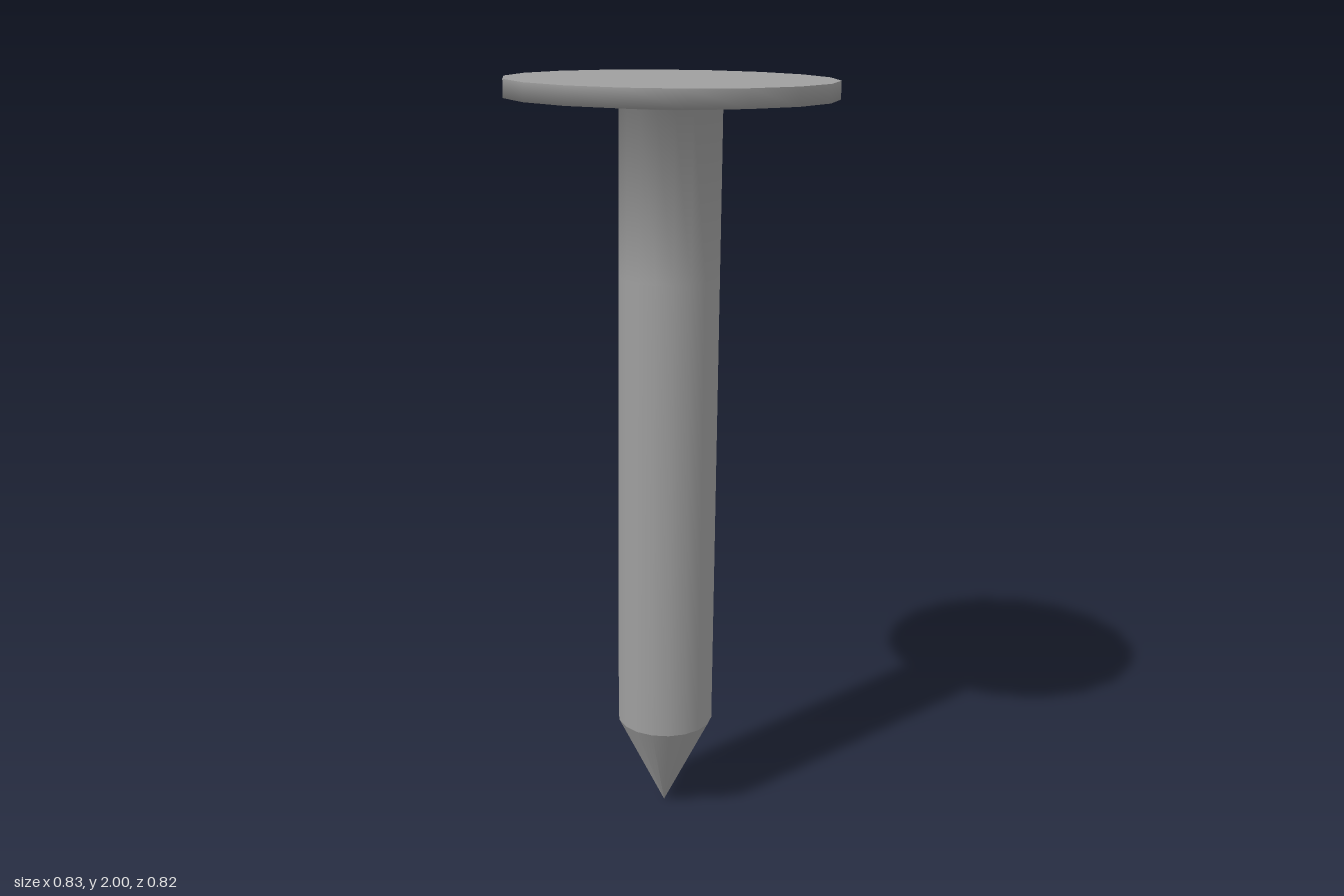
import * as THREE from 'three';

const SIDES = 18;

// Turns a [radius, height] profile into a named, smooth-shaded mesh.
function turnedPart(name, profile, material) {
  const points = profile.map(([r, y]) => new THREE.Vector2(r, y));
  const mesh = new THREE.Mesh(new THREE.LatheGeometry(points, SIDES, Math.PI / 2), material);
  mesh.name = name;
  return mesh;
}

export function createModel() {
  const nail = new THREE.Group();
  nail.name = 'nail';
  const material = new THREE.MeshStandardMaterial({ color: 0x9e9e9e });

  nail.add(
    // Conical point
    turnedPart('point', [[0, 0], [0.13, 0.265]], material),
    // Straight shaft blending smoothly into the head's underside and rim
    turnedPart('shaftAndHead', [
      [0.13, 0.265], [0.13, 1.5], [0.13, 1.925], [0.417, 1.948], [0.417, 1.993],
    ], material),
    // Flat striking face
    turnedPart('headTop', [[0.417, 1.993], [0, 1.993]], material)
  );

  // The whole nail leans very slightly forward
  nail.rotation.x = THREE.MathUtils.degToRad(1);
  nail.position.z = -0.034;

  const model = new THREE.Group();
  model.add(nail);
  return model;
}
